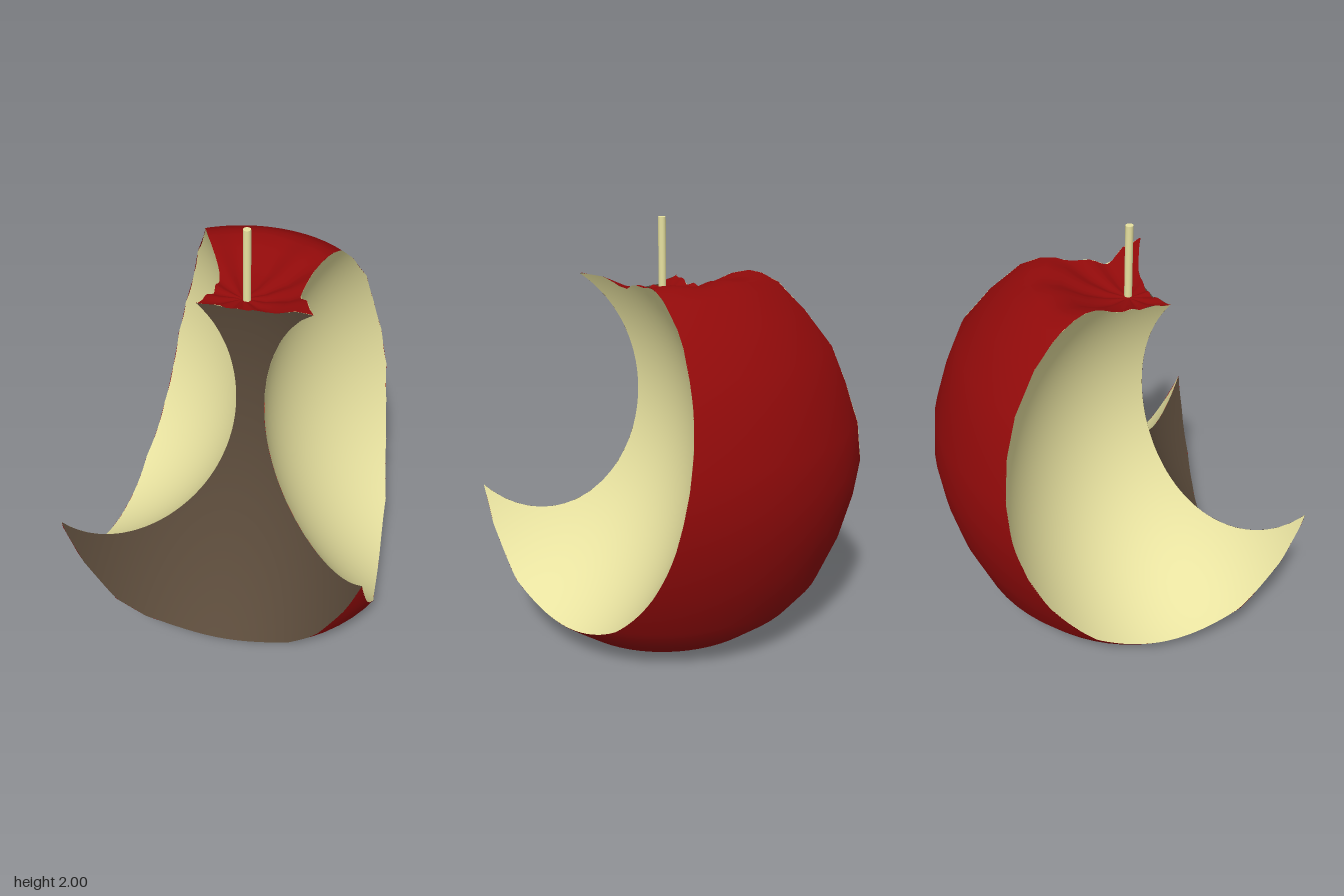
import * as THREE from 'three';

const AXIS_Z = 0.15; // vertical axis of the apple
const WIDE = 1.04;   // apple is slightly wider than deep

// Apple profile as radius/height pairs: underside and upper side
const LOWER = [[0, 0.03], [0.2, 0.015], [0.38, 0.008], [0.52, 0.035], [0.66, 0.15], [0.755, 0.27], [0.85, 0.5], [0.9, 0.69], [0.927, 0.88]];
const UPPER = [[0, 1.655], [0.1, 1.662], [0.2, 1.69], [0.3, 1.74], [0.38, 1.76], [0.44, 1.755], [0.52, 1.725], [0.65, 1.61], [0.78, 1.45], [0.85, 1.28], [0.91, 1.08], [0.927, 0.88]];

// Bites: ellipsoid centre and semi-axes
const BITES = [
  { name: 'leftBite', c: [1.342, 1.15, 0.08], s: [1.242, 1.168, 0.91] },
  { name: 'rightBite', c: [-0.967, 1.15, 0.08], s: [0.967, 1.04, 0.79] },
  { name: 'frontBite', c: [0.01, 1.3, 1.4], s: [0.91, 1.587, 1.185] },
];

function heightAt(table, r) {
  let i = 1;
  while (i < table.length - 1 && table[i][0] < r) i++;
  const [r0, y0] = table[i - 1], [r1, y1] = table[i];
  return y0 + (y1 - y0) * (r - r0) / (r1 - r0);
}

// Puckered folds around the stem
function pucker(r, angle) {
  if (r > 0.5) return 0;
  return 0.009 * Math.sin(Math.PI * r / 0.5) * Math.cos(10 * angle);
}

// Positive inside the apple
function insideApple(p) {
  const x = p.x / WIDE, z = p.z - AXIS_Z, r = Math.hypot(x, z);
  const top = heightAt(UPPER, r) + pucker(r, Math.atan2(x, z));
  return Math.min(top - p.y, p.y - heightAt(LOWER, r), 0.927 - r);
}

// Positive outside a bite
const outside = ({ c, s }) => (p) =>
  Math.hypot((p.x - c[0]) / s[0], (p.y - c[1]) / s[1], (p.z - c[2]) / s[2]) - 1;

const mix = (a, b, t) => ({ p: a.p.clone().lerp(b.p, t), n: a.n.clone().lerp(b.n, t) });

// Point on edge a-b where the field changes sign
function crossing(a, b, field) {
  const startsIn = field(a.p) >= 0;
  let lo = 0, hi = 1;
  for (let i = 0; i < 14; i++) {
    const mid = (lo + hi) / 2;
    if ((field(a.p.clone().lerp(b.p, mid)) >= 0) === startsIn) lo = mid; else hi = mid;
  }
  return mix(a, b, (lo + hi) / 2);
}

// Keep only the part of a geometry where every field is positive
function trim(geometry, fields) {
  const g = geometry.toNonIndexed();
  const P = g.attributes.position, N = g.attributes.normal;
  const pos = [], nor = [];
  for (let i = 0; i < P.count; i += 3) {
    let poly = [0, 1, 2].map((k) => ({
      p: new THREE.Vector3().fromBufferAttribute(P, i + k),
      n: new THREE.Vector3().fromBufferAttribute(N, i + k),
    }));
    for (const field of fields) {
      const next = [];
      poly.forEach((a, k) => {
        const b = poly[(k + 1) % poly.length];
        const inA = field(a.p) >= 0, inB = field(b.p) >= 0;
        if (inA) next.push(a);
        if (inA !== inB) next.push(crossing(a, b, field));
      });
      poly = next;
    }
    for (let k = 1; k + 1 < poly.length; k++) {
      for (const v of [poly[0], poly[k], poly[k + 1]]) {
        pos.push(...v.p.toArray());
        nor.push(...v.n.normalize().toArray());
      }
    }
  }
  const out = new THREE.BufferGeometry();
  out.setAttribute('position', new THREE.Float32BufferAttribute(pos, 3));
  out.setAttribute('normal', new THREE.Float32BufferAttribute(nor, 3));
  return out;
}

// Full apple skin, before the bites
function appleGeometry() {
  const outline = [...LOWER, ...UPPER.slice(0, -1).reverse()];
  const g = new THREE.LatheGeometry(outline.map(([r, y]) => new THREE.Vector2(r, y)), 60);
  const P = g.attributes.position;
  for (let i = 0; i < P.count; i++) {
    const x = P.getX(i), z = P.getZ(i);
    if (P.getY(i) > 1) P.setY(i, P.getY(i) + pucker(Math.hypot(x, z), Math.atan2(x, z)));
  }
  g.computeVertexNormals();
  return g.scale(WIDE, 1, 1).translate(0, 0, AXIS_Z);
}

export function createModel() {
  const group = new THREE.Group();
  const material = (color) => new THREE.MeshStandardMaterial({ color, side: THREE.DoubleSide });
  const red = material(0x900a0a), flesh = material(0xe8e2a0), brown = material(0x5a4a3a);
  const add = (name, geometry, mat) => {
    const mesh = new THREE.Mesh(geometry, mat);
    mesh.name = name;
    group.add(mesh);
    return mesh;
  };

  // Skin with the three bites removed
  add('skin', trim(appleGeometry(), BITES.map(outside)), red);

  // Hollow bite surfaces
  for (const bite of BITES) {
    const g = new THREE.SphereGeometry(1, 96, 64).scale(...bite.s).translate(...bite.c);
    const others = BITES.filter((b) => b !== bite).map(outside);
    add(bite.name, trim(g, [insideApple, ...others]), bite.name === 'frontBite' ? brown : flesh);
  }

  // Pale rays on the underside
  const ray = LOWER.slice(0, 3).map(([r, y]) => new THREE.Vector2(r, y - 0.006));
  for (let i = 0; i < 8; i++) {
    const g = new THREE.LatheGeometry(ray, 2, i * Math.PI / 4 + 0.1, 0.17);
    add('undersideRay', g, flesh).position.z = AXIS_Z;
  }

  // Stem
  add('stem', new THREE.CylinderGeometry(0.018, 0.018, 0.35, 12), flesh).position.set(0.02, 1.825, 0.155);

  return group;
}
